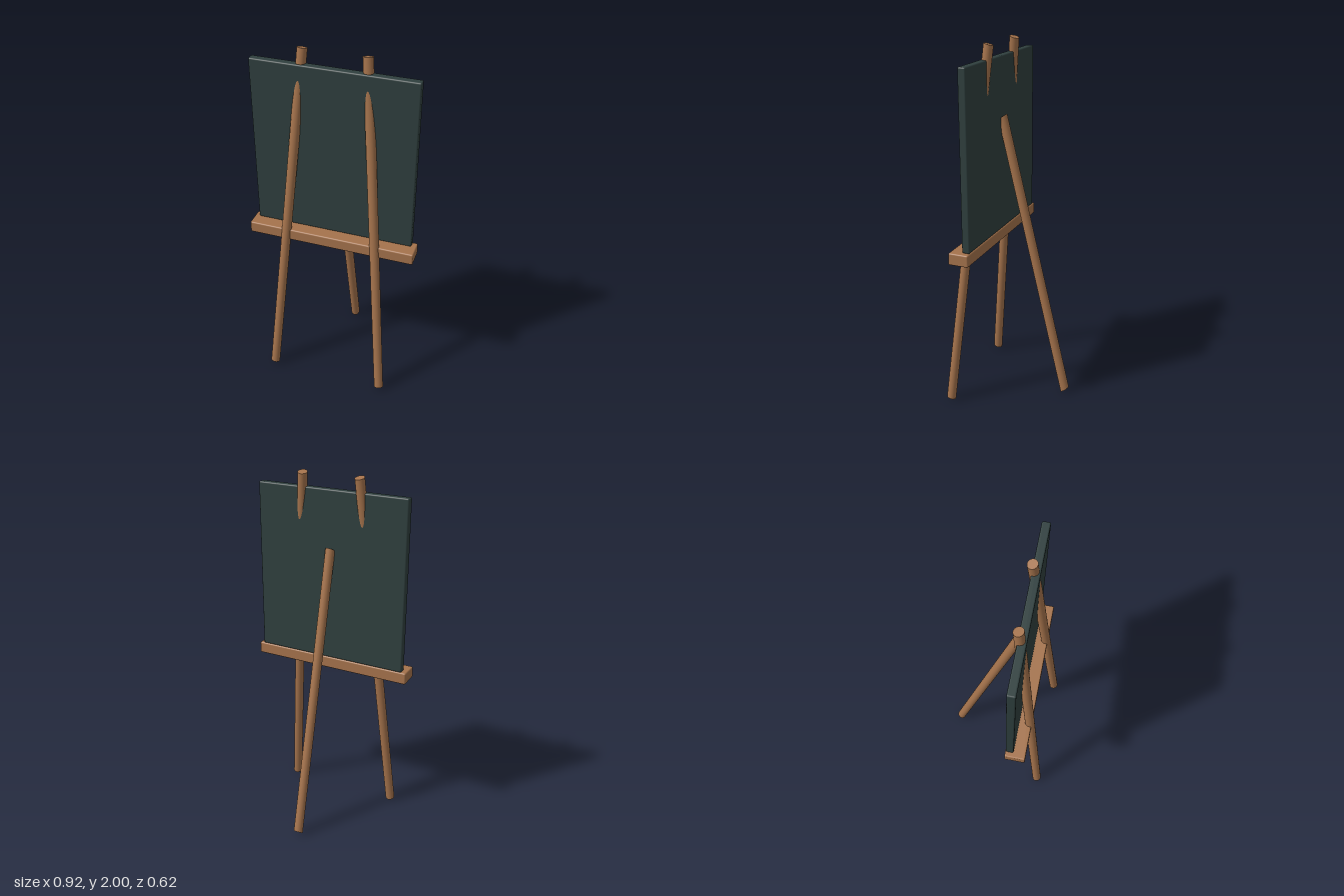
import * as THREE from 'three';
import { RoundedBoxGeometry } from 'three/addons/geometries/RoundedBoxGeometry.js';

const wood = new THREE.MeshStandardMaterial({ color: 0xa5734c });
wood.name = 'wood';
const slate = new THREE.MeshStandardMaterial({ color: 0x2f3f3e });
slate.name = 'slate';

// Round pole between two points; slant tilts both end cuts along local z
function pole(name, foot, top, slant) {
  const a = new THREE.Vector3(...foot);
  const b = new THREE.Vector3(...top);
  const geometry = new THREE.CylinderGeometry(0.026, 0.026, a.distanceTo(b), 32);
  const pos = geometry.attributes.position;
  for (let i = 0; i < pos.count; i++) pos.setY(i, pos.getY(i) + slant * pos.getZ(i));
  // keep the smooth side normals, retilt only the flat end caps
  const normal = geometry.attributes.normal;
  const cap = new THREE.Vector3(0, 1, -slant).normalize();
  for (let i = 0; i < normal.count; i++) {
    const s = normal.getY(i);
    if (Math.abs(s) > 0.9) normal.setXYZ(i, 0, cap.y * s, cap.z * s);
  }
  const mesh = new THREE.Mesh(geometry, wood);
  mesh.name = name;
  mesh.position.copy(a).add(b).multiplyScalar(0.5);
  mesh.quaternion.setFromUnitVectors(new THREE.Vector3(0, 1, 0), b.sub(a).normalize());
  return mesh;
}

// Softly rounded slab given by its min and max corners
function slab(name, min, max, radius, material) {
  const size = max.map((v, i) => v - min[i]);
  const mesh = new THREE.Mesh(new RoundedBoxGeometry(...size, 3, radius), material);
  mesh.name = name;
  mesh.position.set(...max.map((v, i) => (v + min[i]) / 2));
  return mesh;
}

export function createModel() {
  const easel = new THREE.Group();
  easel.name = 'easel';

  // Two front legs run up through the board, one leg props it from behind
  for (const [side, name] of [[1, 'leftFrontLeg'], [-1, 'rightFrontLeg']]) {
    easel.add(pole(name, [side * 0.326, 0.016, 0.285], [side * 0.164, 1.991, 0.098], 0.17));
  }
  easel.add(pole('backLeg', [0, 0.016, -0.285], [0, 1.594, 0.096], -0.4));

  // Board resting on its ledge
  easel.add(slab('board', [-0.434, 0.969, 0.096], [0.434, 1.915, 0.139], 0.008, slate));
  easel.add(slab('ledge', [-0.461, 0.903, 0.094], [0.461, 0.969, 0.206], 0.008, wood));

  return easel;
}
